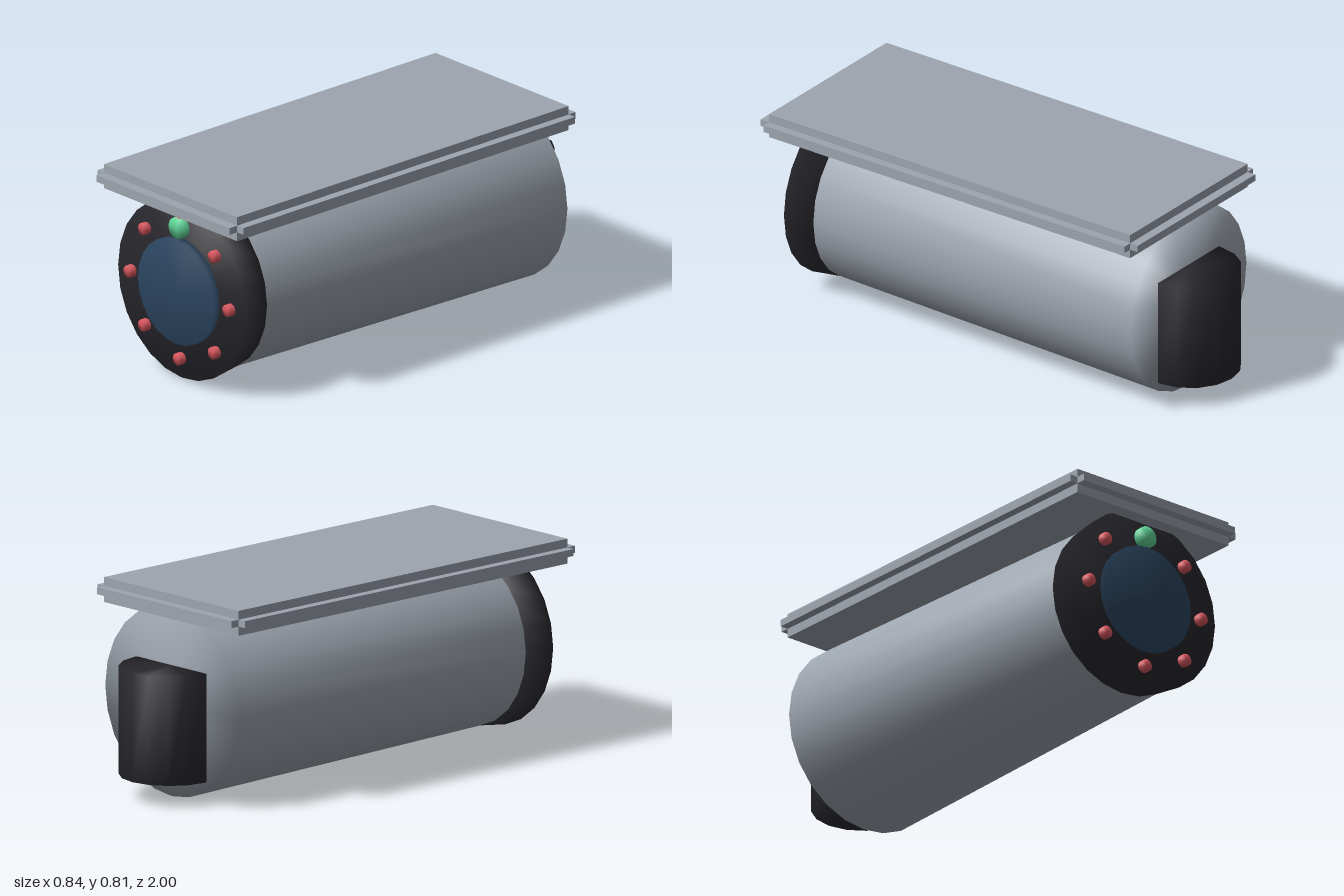
import * as THREE from 'three';
import { mergeVertices } from 'three/addons/utils/BufferGeometryUtils.js';

const mat = (name, color) => {
  const m = new THREE.MeshStandardMaterial({ color });
  m.name = name;
  return m;
};

// Cylinder with fully shared normals, so shading rolls over the rims
function softCylinder(rTop, rBottom, height, sides) {
  const g = new THREE.CylinderGeometry(rTop, rBottom, height, sides);
  g.deleteAttribute('normal');
  g.deleteAttribute('uv');
  const merged = mergeVertices(g, 1e-4);
  merged.computeVertexNormals();
  return merged;
}

export function createModel() {
  const model = new THREE.Group();
  model.name = 'securityCamera';
  const grey = mat('housing grey', 0x9da5af);
  const dark = mat('dark plastic', 0x27262c);
  const blue = mat('lens blue', 0x2b4560);
  const red = mat('infrared red', 0xd8575f);
  const green = mat('sensor green', 0x5fd598);
  const axisY = 0.382;

  const add = (name, geometry, material, x, y, z) => {
    const mesh = new THREE.Mesh(geometry, material);
    mesh.name = name;
    mesh.position.set(x, y, z);
    model.add(mesh);
    return mesh;
  };
  // Cylinder lying along z, from z0 (radius r0) to z1 (radius r1)
  const barrel = (name, material, r0, r1, z0, z1, sides, x = 0, y = axisY) =>
    add(name, softCylinder(r1, r0, z1 - z0, sides).rotateX(Math.PI / 2), material, x, y, (z0 + z1) / 2);
  const slab = (name, halfWidth, y0, y1, z0, z1) =>
    add(name, new THREE.BoxGeometry(halfWidth * 2, y1 - y0, z1 - z0), grey, 0, (y0 + y1) / 2, (z0 + z1) / 2);

  // Tapered housing, flared front bezel and lens
  barrel('housing', grey, 0.38, 0.35, -0.79, 0.77, 24);
  barrel('frontBezel', dark, 0.35, 0.367, 0.77, 0.9, 24);
  barrel('lens', blue, 0.218, 0.218, 0.88, 0.932, 24);

  // Ring of infrared lights, with the light sensor over the top one
  for (let i = 0; i < 8; i++) {
    const a = (i * Math.PI) / 4;
    barrel('infraredLight', red, 0.025, 0.025, 0.88, 0.925, 12,
      0.285 * Math.sin(a), axisY + 0.285 * Math.cos(a));
  }
  barrel('lightSensor', green, 0.044, 0.044, 0.88, 0.93, 16, 0, 0.647);

  // Sunshield: core slab with a thin lip on each edge
  slab('sunshield', 0.384, 0.713, 0.813, -0.793, 0.96);
  slab('sunshieldSideLip', 0.42, 0.75, 0.778, -0.793, 0.96);
  slab('sunshieldEndLip', 0.384, 0.75, 0.778, -0.83, 1.0);

  // Upright round mount at the back, half sunk in the housing
  add('rearMount', softCylinder(0.2, 0.2, 0.435, 16), dark, 0, 0.31, -0.8);

  return model;
}
